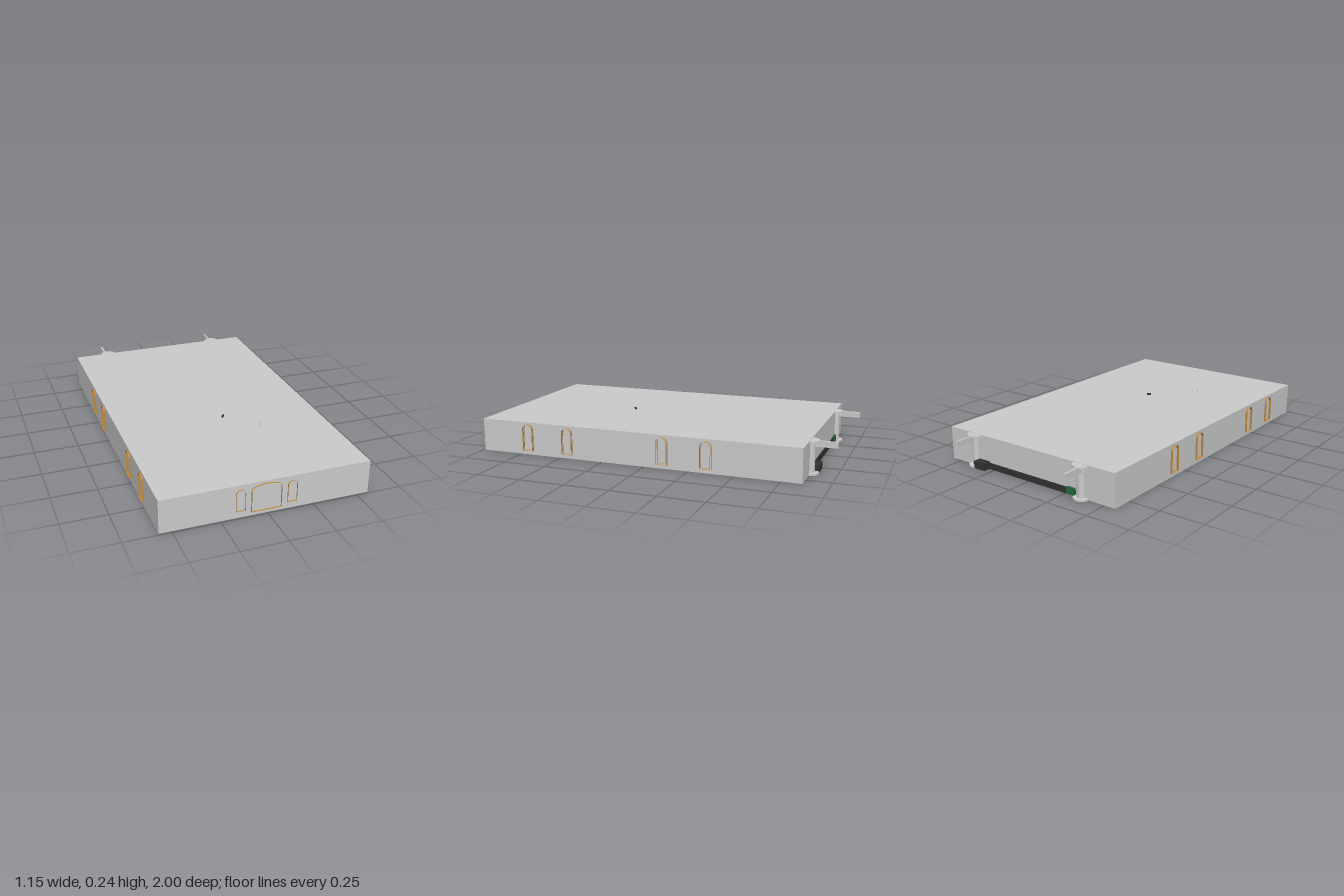
import * as THREE from 'three';

const grey = new THREE.MeshStandardMaterial({ color: 0xcccccc });
const tan = new THREE.MeshStandardMaterial({ color: 0xc08a40, side: THREE.DoubleSide });
const dark = new THREE.MeshStandardMaterial({ color: 0x333333 });
const green = new THREE.MeshStandardMaterial({ color: 0x1f6a3c });

function add(parent, name, geometry, material, x = 0, y = 0, z = 0) {
  const mesh = new THREE.Mesh(geometry, material);
  mesh.name = name;
  mesh.position.set(x, y, z);
  parent.add(mesh);
  return mesh;
}

// Box given by its lower and upper limits on each axis
function block(parent, name, material, [x0, x1], [y0, y1], [z0, z1]) {
  return add(parent, name, new THREE.BoxGeometry(x1 - x0, y1 - y0, z1 - z0), material,
    (x0 + x1) / 2, (y0 + y1) / 2, (z0 + z1) / 2);
}

// Open ribbon following an arched outline, standing out along +z
function archRibbon(width, y0, y1, rise, depth) {
  const w = width / 2, pts = [[-w, y0], [w, y0]];
  for (let i = 0; i <= 12; i++) {
    const a = (i / 12) * Math.PI;
    pts.push([w * Math.cos(a), y1 - rise + rise * Math.sin(a)]);
  }
  pts.push([-w, y0]);
  const pos = [], index = [];
  pts.forEach(([x, y], i) => {
    pos.push(x, y, 0, x, y, depth);
    if (i) {
      const k = 2 * i;
      index.push(k - 2, k, k - 1, k, k + 1, k - 1);
    }
  });
  let g = new THREE.BufferGeometry();
  g.setAttribute('position', new THREE.Float32BufferAttribute(pos, 3));
  g.setIndex(index);
  g = g.toNonIndexed();
  g.computeVertexNormals();
  return g;
}

// Half-round plate against the back wall
function halfPlate(radius, height) {
  const s = new THREE.Shape();
  s.absarc(0, 0, radius, 0, Math.PI, false);
  s.closePath();
  const g = new THREE.ExtrudeGeometry(s, { depth: height, bevelEnabled: false, curveSegments: 16 });
  return g.rotateX(-Math.PI / 2);
}

export function createModel() {
  const model = new THREE.Group();
  model.name = 'hall';

  // Main body
  block(model, 'body', grey, [-0.566, 0.566], [0, 0.185], [-0.86, 0.99]);

  // Arched window frames along both sides
  for (const side of [-1, 1]) {
    for (const z of [-0.35, -0.105, 0.457, 0.702]) {
      const frame = new THREE.Group();
      frame.name = 'sideWindowFrame';
      add(frame, 'outerFrame', archRibbon(0.064, 0.022, 0.174, 0.03, 0.01), tan);
      add(frame, 'innerFrame', archRibbon(0.05, 0.029, 0.167, 0.024, 0.008), tan);
      frame.position.set(side * 0.566, 0, z);
      frame.rotation.y = side * Math.PI / 2;
      model.add(frame);
    }
  }

  // Wide front window with a smaller arch on either side
  add(model, 'frontWindowFrame', archRibbon(0.16, 0.022, 0.172, 0.025, 0.01), tan, -0.008, 0, 0.99);
  for (const x of [-0.145, 0.132])
    add(model, 'frontSideArch', archRibbon(0.05, 0.04, 0.16, 0.025, 0.008), tan, x, 0, 0.99);

  // Half-round columns with caps and projecting arms on the back wall
  for (const [x, armX] of [[-0.357, -0.37], [0.377, 0.372]]) {
    const column = new THREE.Group();
    column.name = 'backColumn';
    add(column, 'shaft', halfPlate(0.024, 0.18), grey);
    add(column, 'base', halfPlate(0.045, 0.01), grey);
    add(column, 'cap', halfPlate(0.046, 0.01), grey, 0, 0.173);
    column.position.set(x, 0, -0.86);
    model.add(column);
    block(model, 'arm', grey, [armX - 0.006, armX + 0.006], [0.147, 0.18], [-1, -0.86]);
    block(model, 'armRail', grey, [armX - 0.009, armX + 0.009], [0.172, 0.182], [-0.91, -0.86]);
  }

  // Dark low rail and end boxes
  block(model, 'lowRail', dark, [-0.3, 0.3], [0.004, 0.038], [-0.867, -0.86]);
  block(model, 'endBox', dark, [0.28, 0.355], [0.004, 0.045], [-0.905, -0.86]);
  block(model, 'greenBox', green, [-0.32, -0.268], [0.008, 0.045], [-0.874, -0.86]);

  // Small fitting and two hair-thin rods on the roof
  const fitting = block(model, 'roofFitting', dark, [0.02, 0.044], [0.184, 0.196], [0.272, 0.278]);
  fitting.rotation.y = Math.PI / 4;
  for (const [x, top, z] of [[-0.197, 0.217, 0.475], [0.173, 0.24, 0.475]])
    block(model, 'roofRod', grey, [x - 0.0007, x + 0.0007], [0.18, top], [z - 0.0007, z + 0.0007]);

  return model;
}
